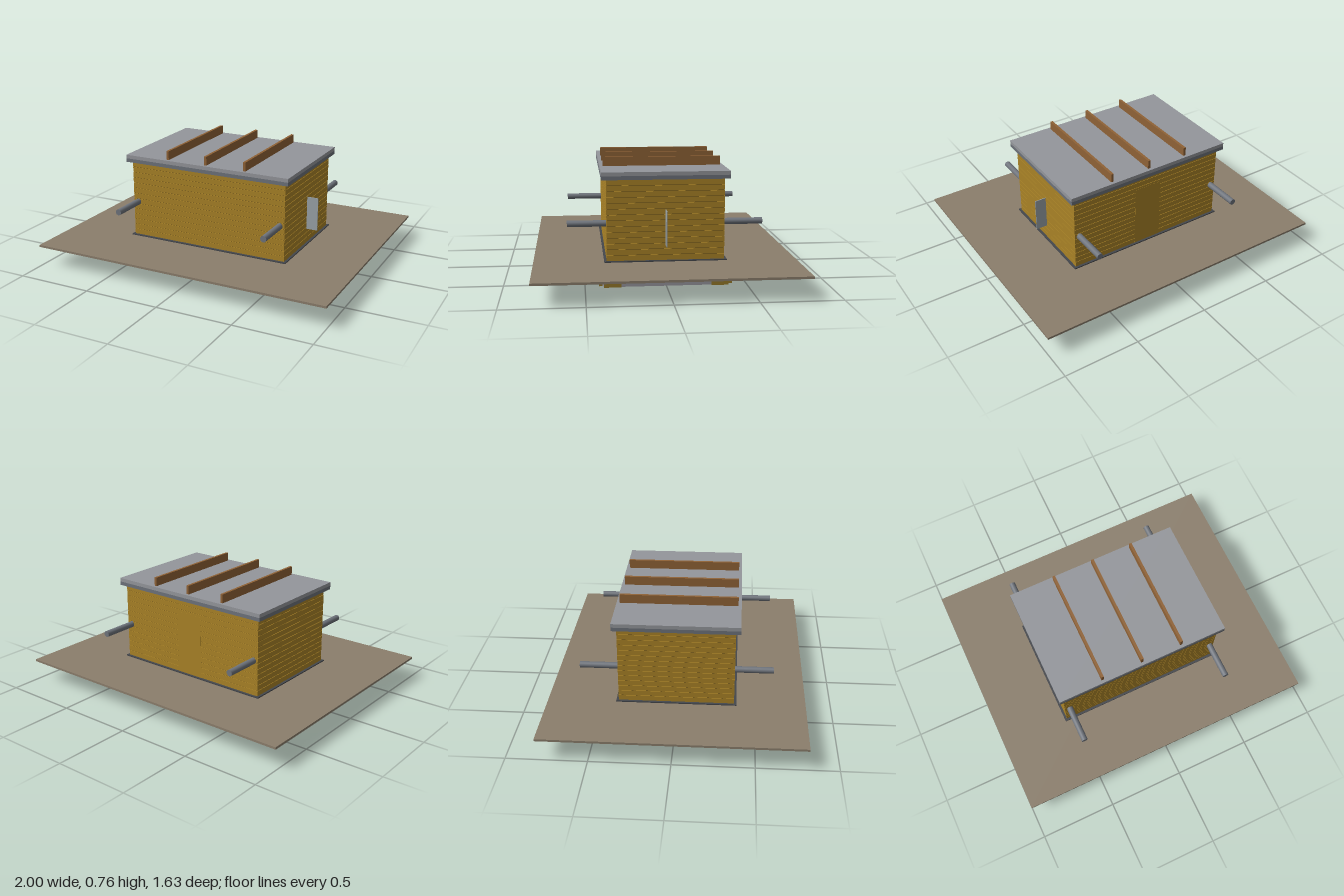
import * as THREE from 'three';

const COLORS = {
  ground: 0x8b7e6c, timber: 0xa98226, groove: 0x6b511a, roof: 0x94969b, trim: 0x6d727a,
  steel: 0x6f747c, batten: 0x8f6236, footing: 0x96959c, bracket: 0x94782a, dark: 0x44474c, panel: 0x9aa3a8,
};
const mats = Object.fromEntries(Object.entries(COLORS).map(([k, color]) =>
  [k, new THREE.MeshStandardMaterial({ color })]));

function add(parent, name, geometry, mat, x = 0, y = 0, z = 0) {
  const mesh = new THREE.Mesh(geometry, mats[mat]);
  mesh.name = name;
  mesh.position.set(x, y, z);
  parent.add(mesh);
  return mesh;
}

// Box given by its centre in plan and its bottom and top heights
function slab(parent, name, mat, w, d, y0, y1, x = 0, z = 0) {
  return add(parent, name, new THREE.BoxGeometry(w, y1 - y0, d), mat, x, (y0 + y1) / 2, z);
}

// Rounded rectangular block whose upper edge is drawn in by "taper"
function roundedBlock(hx, hz, r, height, taper = 0) {
  const s = new THREE.Shape();
  s.moveTo(-hx + r, -hz);
  s.lineTo(hx - r, -hz);
  s.absarc(hx - r, -hz + r, r, -Math.PI / 2, 0);
  s.absarc(hx - r, hz - r, r, 0, Math.PI / 2);
  s.absarc(-hx + r, hz - r, r, Math.PI / 2, Math.PI);
  s.absarc(-hx + r, -hz + r, r, Math.PI, Math.PI * 1.5);
  const g = new THREE.ExtrudeGeometry(s, { depth: height, bevelEnabled: false, curveSegments: 6 });
  g.rotateX(-Math.PI / 2);
  const p = g.attributes.position;
  for (let i = 0; i < p.count; i++) {
    if (p.getY(i) > height / 2) {
      p.setX(i, p.getX(i) * (1 - taper / hx));
      p.setZ(i, p.getZ(i) * (1 - taper / hz));
    }
  }
  g.computeVertexNormals();
  return g;
}

export function createModel() {
  const model = new THREE.Group();
  model.name = 'logHut';

  // Ground plate and dark sill under the walls
  slab(model, 'groundPlate', 'ground', 2, 1.63, 0.133, 0.147);
  slab(model, 'sill', 'dark', 1.12, 0.76, 0.147, 0.154);

  // Footing below ground: straight base, tapered shoulder, timber cap
  const footing = new THREE.Group();
  footing.name = 'footing';
  model.add(footing);
  add(footing, 'footingBase', roundedBlock(0.587, 0.403, 0.06, 0.066), 'footing');
  add(footing, 'footingShoulder', roundedBlock(0.587, 0.403, 0.06, 0.04, 0.022), 'trim', 0, 0.066);
  add(footing, 'footingCap', roundedBlock(0.565, 0.381, 0.05, 0.028), 'bracket', 0, 0.106);

  // Pair of brackets around every footing corner
  for (const sx of [-1, 1]) {
    for (const sz of [-1, 1]) {
      slab(footing, 'longSideBracket', 'bracket', 0.105, 0.05, 0, 0.133, sx * 0.508, sz * 0.39);
      slab(footing, 'shortSideBracket', 'bracket', 0.05, 0.105, 0, 0.133, sx * 0.575, sz * 0.332);
    }
  }

  // Walls: stacked timber courses around a slightly recessed core
  const walls = new THREE.Group();
  walls.name = 'walls';
  model.add(walls);
  slab(walls, 'wallCore', 'groove', 1.082, 0.722, 0.15, 0.66);
  const courses = 14, y0 = 0.154, pitch = (0.66 - y0) / courses;
  for (let i = 0; i < courses; i++) {
    const y = y0 + i * pitch;
    slab(walls, 'timberCourse', 'timber', 1.09, 0.73, y, y + pitch - 0.003);
  }

  // Flush door in the back wall
  slab(model, 'door', 'timber', 0.19, 0.012, 0.154, 0.57, 0, -0.36);

  // Roof slab with lower trim, and battens running front to back
  slab(model, 'roofTrim', 'trim', 1.15, 0.79, 0.66, 0.684);
  slab(model, 'roof', 'roof', 1.15, 0.79, 0.684, 0.708);
  for (const x of [-0.273, 0, 0.273]) {
    slab(model, 'roofBatten', 'batten', 0.017, 0.75, 0.706, 0.765, x);
  }

  // Poles passing through the hut near its ends
  for (const x of [-0.512, 0.512]) {
    const pole = new THREE.CylinderGeometry(0.02, 0.02, 1.21, 20).rotateX(Math.PI / 2);
    add(model, 'pole', pole, 'steel', x, 0.385, 0);
  }

  // Thin fin standing out from one end wall
  slab(model, 'sideFin', 'panel', 0.08, 0.005, 0.25, 0.47, 0.58, 0);

  return model;
}
